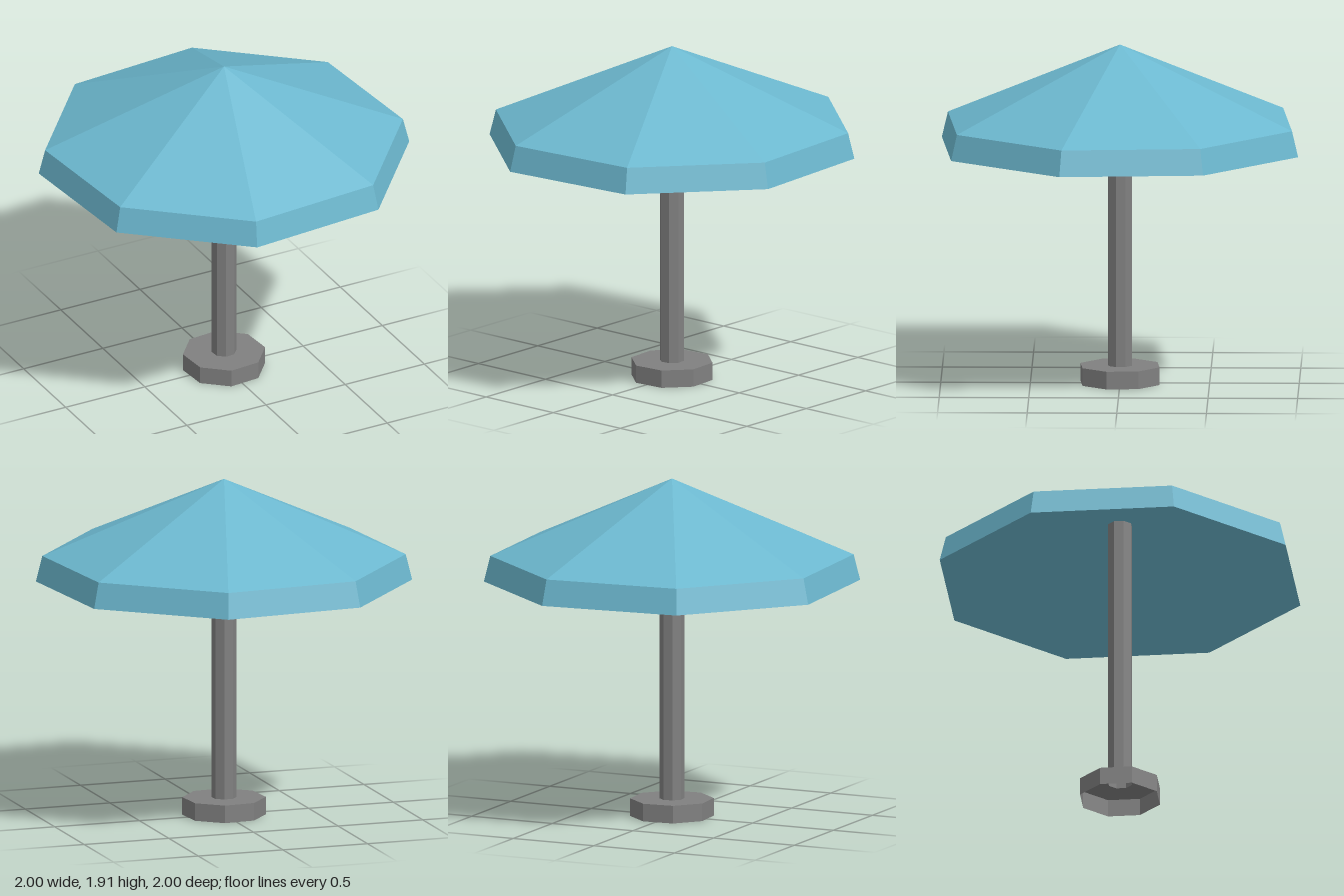
import * as THREE from 'three';

const SIDES = 8;
const TURN = THREE.MathUtils.degToRad(27.2); // octagon rotation about the axis

// Faceted eight-sided solid of revolution from [radius, height] pairs
function facetedLathe(name, profile, material) {
  const points = profile.map(([r, y]) => new THREE.Vector2(r, y));
  const geometry = new THREE.LatheGeometry(points, SIDES, TURN).toNonIndexed();
  geometry.computeVertexNormals();
  const mesh = new THREE.Mesh(geometry, material);
  mesh.name = name;
  return mesh;
}

export function createModel() {
  const fabric = new THREE.MeshStandardMaterial({ color: 0x6cb8cf, flatShading: true, side: THREE.DoubleSide });
  fabric.name = 'blue fabric';
  const metal = new THREE.MeshStandardMaterial({ color: 0x808080, flatShading: true, side: THREE.DoubleSide });
  metal.name = 'grey metal';

  const group = new THREE.Group();
  group.name = 'parasol';

  // Hollow foot, open underneath, with a hole where the pole starts
  group.add(facetedLathe('base', [[0.233, 0], [0.233, 0.1], [0.07, 0.1]], metal));

  // Open tube running up into the canopy
  group.add(facetedLathe('pole', [[0.07, 0.1], [0.07, 1.7]], metal));

  // Shallow inner cone, slanted rim and outer cone
  group.add(facetedLathe('canopy', [[0, 1.71], [1.05, 1.335], [1.014, 1.48], [0, 1.915]], fabric));

  return group;
}
